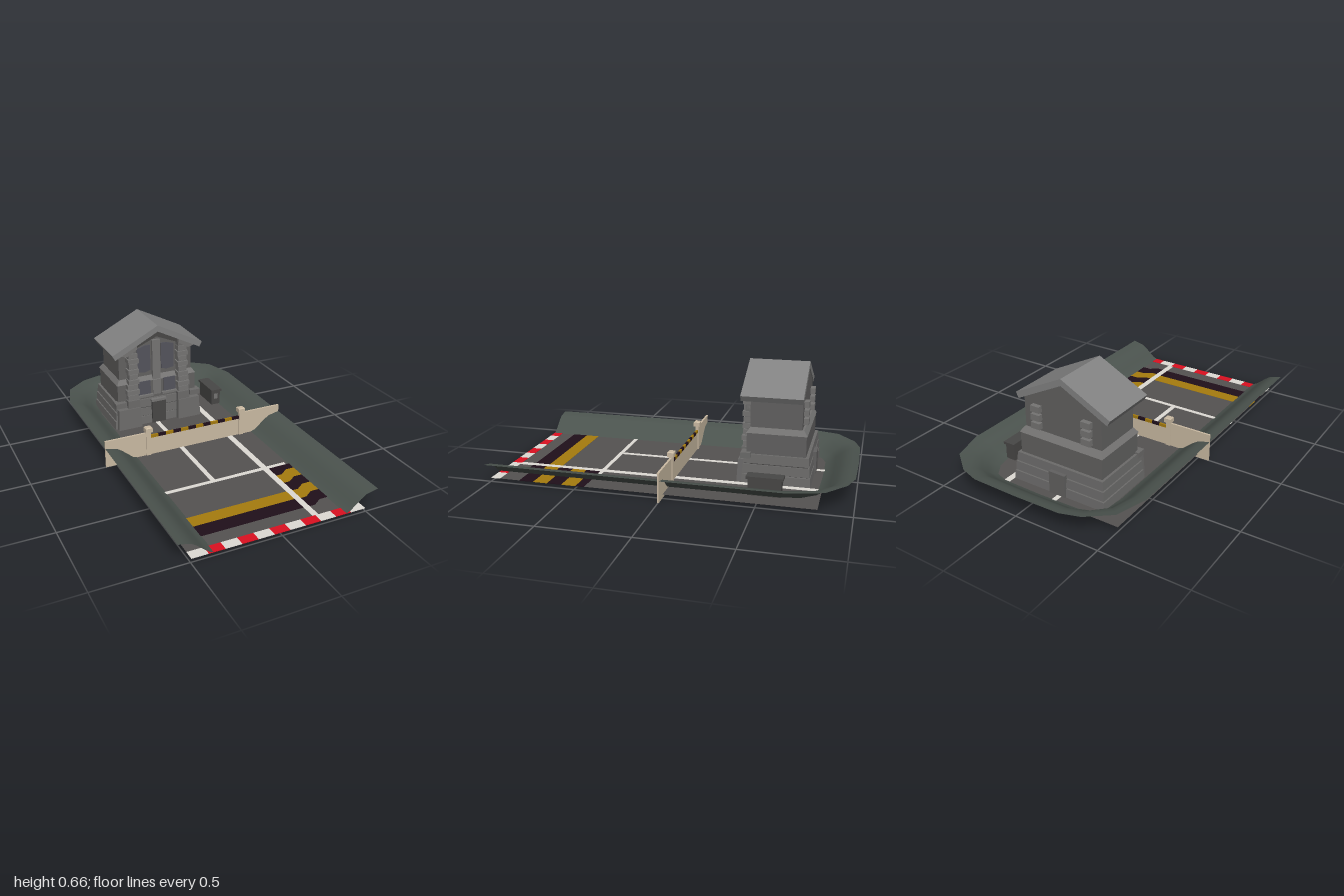
import * as THREE from 'three';

const mat = (color, side = THREE.FrontSide) =>
  new THREE.MeshStandardMaterial({ color, side, roughness: 0.9, flatShading: true });
const M = {
  asphalt: mat(0x555251, THREE.DoubleSide), bank: mat(0x4b534e, THREE.DoubleSide),
  white: mat(0xdedbd5), red: mat(0xdc1020), yellow: mat(0xa67c0e), black: mat(0x1f0f1a),
  tan: mat(0xcbbba3), stone: mat(0x6c6b6a), wall: mat(0x626160), roof: mat(0x828282),
  trim: mat(0x757473), dark: mat(0x484746), glass: mat(0x54545c),
};
const FLOOR = 0.02, HALF = 0.495;

function add(parent, name, geo, material) {
  const m = new THREE.Mesh(geo, material);
  m.name = name;
  parent.add(m);
  return m;
}

// Box given by its limits on each axis
function box(parent, name, material, x0, x1, y0, y1, z0, z1) {
  const m = add(parent, name, new THREE.BoxGeometry(x1 - x0, y1 - y0, z1 - z0), material);
  m.position.set((x0 + x1) / 2, (y0 + y1) / 2, (z0 + z1) / 2);
  return m;
}

// Box whose top is narrowed by an inset on all four sides
function tapered(parent, name, material, x0, x1, y0, y1, z0, z1, inset) {
  const m = box(parent, name, material, x0, x1, y0, y1, z0, z1);
  const p = m.geometry.attributes.position;
  for (let i = 0; i < p.count; i++) {
    if (p.getY(i) > 0) {
      p.setX(i, p.getX(i) - Math.sign(p.getX(i)) * inset);
      p.setZ(i, p.getZ(i) - Math.sign(p.getZ(i)) * inset);
    }
  }
  m.geometry.computeVertexNormals();
  return m;
}

// Outline in x,y pushed along z
function prism(parent, name, material, pts, z0, z1) {
  const shape = new THREE.Shape(pts.map(([x, y]) => new THREE.Vector2(x, y)));
  const geo = new THREE.ExtrudeGeometry(shape, { depth: z1 - z0, bevelEnabled: false });
  geo.translate(0, 0, z0);
  return add(parent, name, geo, material);
}

// Sloping embankment, lofted from the floor edge to the outer rim
function makeBank() {
  const mirror = (h) => [...h, ...h.slice(0, -1).reverse().map(([x, z]) => [-x, z])];
  const inner = mirror([[-0.37, 1], [-0.37, -0.62], [-0.355, -0.7], [-0.31, -0.77], [-0.24, -0.795], [0, -0.8]]);
  const outer = mirror([[-0.565, 1], [-0.565, -0.67], [-0.51, -0.855], [-0.38, -0.96], [-0.27, -0.995], [0, -1]]);
  const profile = [[0, 0.018], [0.16, 0.03], [0.32, 0.056], [0.48, 0.083], [0.65, 0.105], [0.82, 0.113], [1, 0.12]];
  const pos = [], idx = [], n = profile.length;
  inner.forEach(([x, z], i) => profile.forEach(([t, y]) =>
    pos.push(x + (outer[i][0] - x) * t, y, z + (outer[i][1] - z) * t)));
  for (let i = 0; i < inner.length - 1; i++) {
    for (let j = 0; j < n - 1; j++) {
      const a = i * n + j, b = a + n;
      idx.push(a, b, a + 1, b, b + 1, a + 1);
    }
  }
  const geo = new THREE.BufferGeometry();
  geo.setAttribute('position', new THREE.Float32BufferAttribute(pos, 3));
  geo.setIndex(idx);
  geo.computeVertexNormals();
  const material = M.bank.clone();
  material.flatShading = false;
  const mesh = new THREE.Mesh(geo, material);
  mesh.name = 'embankment';
  return mesh;
}

function makeGround() {
  const g = new THREE.Group();
  g.name = 'ground';
  const floor = add(g, 'floor', new THREE.PlaneGeometry(2 * HALF, 1.82), M.asphalt);
  floor.rotation.x = -Math.PI / 2;
  floor.position.set(0, FLOOR, 0.09);
  const mark = (name, m, x0, x1, z0, z1, t = 0.0015) =>
    box(g, name, m, x0, x1, FLOOR - t, FLOOR + t, z0, z1);
  mark('centreLine', M.white, -0.107, -0.08, -0.81, 0.42, 0.002);
  mark('sideLine', M.white, 0.21, 0.245, -0.8, 0.945, 0.002);
  mark('stopLine', M.white, -HALF, 0.36, 0.418, 0.442, 0.0025);
  mark('yellowBand', M.yellow, -HALF, 0.21, 0.69, 0.772);
  mark('blackBand', M.black, -HALF, 0.21, 0.772, 0.86);
  // Stepped hazard stripes beside the side line
  for (let i = 0; i < 5; i++) {
    const z = 0.442 + i * 0.084, e = z + 0.084, up = i ? 0.035 : 0;
    const geo = new THREE.ExtrudeGeometry(new THREE.Shape([
      [0.245, z], [0.28, z], [0.33, z - up], [HALF, z - up],
      [HALF, e - 0.035], [0.33, e - 0.035], [0.28, e], [0.245, e],
    ].map(([x, y]) => new THREE.Vector2(x, y))), { depth: 0.003, bevelEnabled: false });
    geo.rotateX(Math.PI / 2);
    add(g, 'hazardStripe', geo, i % 2 ? M.yellow : M.black).position.y = FLOOR + 0.0015;
  }
  // Red and white edge strip
  for (let i = 0; i < 11; i++) {
    mark('edgeStrip', i % 2 ? M.red : M.white, -HALF + i * 0.09, -HALF + (i + 1) * 0.09, 0.945, 1);
    g.children.at(-1).material = i % 2 ? M.red : M.white;
  }
  return g;
}

function makeBarrier() {
  const g = new THREE.Group();
  g.name = 'barrier';
  for (const s of [-1, 1]) {
    const span = (a, b) => (s > 0 ? [a, b] : [-b, -a]);
    box(g, 'sideFence', M.tan, ...span(0.31, 0.565), 0, 0.158, -0.004, 0.004);
    box(g, 'fenceRail', M.tan, ...span(0.31, 0.565), 0.158, 0.165, -0.006, 0.006);
    box(g, 'post', M.tan, ...span(0.288, 0.318), 0, 0.17, -0.01, 0.01);
    box(g, 'postCap', M.tan, ...span(0.28, 0.322), 0.17, 0.195, -0.019, 0.019);
    tapered(g, 'postCapTop', M.tan, ...span(0.28, 0.322), 0.195, 0.2, -0.019, 0.019, 0.005);
  }
  box(g, 'gatePanel', M.tan, -0.29, 0.29, 0.015, 0.128, -0.003, 0.003);
  for (let i = 0; i < 12; i++) {
    const x = -0.288 + i * 0.048;
    box(g, 'gateStripe', i % 2 ? M.black : M.yellow, x, x + 0.048, 0.128, 0.145, -0.006, 0.006);
  }
  return g;
}

function makeHouse() {
  const g = new THREE.Group();
  g.name = 'house';
  g.position.x = -0.08;
  // Banded plinth
  box(g, 'plinthCore', M.dark, -0.27, 0.27, FLOOR, 0.18, -0.735, -0.385);
  for (let i = 0; i < 3; i++) {
    const o = 0.29 - i * 0.007;
    tapered(g, 'plinthBand', M.stone, -o, o, FLOOR + i * 0.056, FLOOR + i * 0.056 + 0.05,
      -0.755 + i * 0.006, -0.372 - i * 0.004, 0.004);
  }
  // Lower storey, sloping ledge and gabled upper storey
  box(g, 'lowerWall', M.wall, -0.258, 0.258, 0.18, 0.3, -0.722, -0.395);
  tapered(g, 'ledge', M.trim, -0.262, 0.262, 0.3, 0.33, -0.726, -0.39, 0.02);
  prism(g, 'upperWall', M.wall,
    [[-0.24, 0.32], [0.24, 0.32], [0.24, 0.515], [0, 0.628], [-0.24, 0.515]], -0.695, -0.41);
  // Roof and the trim below its front edge
  prism(g, 'roof', M.roof, [[-0.276, 0.482], [0, 0.624], [0.276, 0.482], [0.293, 0.513],
    [0, 0.662], [-0.293, 0.513]], -0.7, -0.36);
  prism(g, 'gableTrim', M.dark, [[-0.2, 0.5], [0, 0.585], [0.2, 0.5], [0.2, 0.523],
    [0, 0.626], [-0.2, 0.523]], -0.42, -0.385);
  for (const s of [-1, 1]) {
    const side = (a, b) => (s > 0 ? [a, b] : [-b, -a]);
    // Front pilaster with alternating blocks, foot and roof bracket
    box(g, 'pilaster', M.stone, ...side(0.137, 0.19), FLOOR, 0.53, -0.42, -0.372);
    for (let i = 0; i < 9; i++) {
      const w = i % 2 ? 0.004 : -0.002, low = i < 3 ? 0.012 : 0;
      box(g, 'pilasterBlock', M.trim, ...side(0.132 - w, 0.192 + w + low),
        0.205 + i * 0.034, 0.233 + i * 0.034, -0.42, -0.362 + w);
    }
    box(g, 'pilasterBase', M.stone, ...side(0.128, 0.205), 0.1, 0.2, -0.42, -0.358);
    tapered(g, 'pilasterFoot', M.stone, ...side(0.122, 0.275), FLOOR, 0.15, -0.42, -0.345, 0.006);
    prism(g, 'roofBracket', M.trim, [[s * 0.135, 0.53], [s * 0.2, 0.49], [s * 0.235, 0.5],
      [s * 0.235, 0.512], [s * 0.135, 0.56]], -0.42, -0.363);
    // Side stone on the plinth corner
    box(g, 'cornerStone', M.stone, ...side(0.215, 0.282), 0.16, 0.192, -0.42, -0.365);
    // Windows
    prism(g, 'upperWindow', M.glass, [[s * 0.036, 0.365], [s * 0.07, 0.355], [s * 0.12, 0.362],
      [s * 0.12, 0.515], [s * 0.07, 0.53], [s * 0.036, 0.53]], -0.42, -0.403);
    box(g, 'lowerWindow', M.glass, ...side(0.044, 0.122), 0.215, 0.303, -0.41, -0.387);
    box(g, 'windowSill', M.trim, ...side(0.03, 0.13), 0.198, 0.212, -0.41, -0.378);
    // Rear wall blocks
    for (let i = 0; i < 3; i++) {
      box(g, 'rearBlock', M.trim, ...side(0.13, 0.185),
        0.345 + i * 0.048, 0.38 + i * 0.048, -0.722, -0.69);
    }
  }
  box(g, 'centreStrip', M.trim, -0.026, 0.026, 0.2, 0.56, -0.42, -0.392);
  box(g, 'frontDoor', M.dark, -0.045, 0.045, FLOOR, 0.165, -0.4, -0.363);
  box(g, 'doorLintel', M.trim, -0.05, 0.05, 0.165, 0.18, -0.4, -0.36);
  box(g, 'rearDoor', M.wall, -0.05, 0.05, FLOOR, 0.15, -0.762, -0.73);
  return g;
}

function makeCabinet() {
  const g = new THREE.Group();
  g.name = 'cabinet';
  box(g, 'cabinetBody', M.dark, 0.325, 0.385, FLOOR, 0.112, -0.62, -0.44);
  box(g, 'cabinetLid', M.dark, 0.32, 0.392, 0.112, 0.126, -0.63, -0.43);
  box(g, 'cabinetPanel', M.trim, 0.342, 0.368, 0.06, 0.095, -0.441, -0.437);
  return g;
}

export function createModel() {
  const model = new THREE.Group();
  model.name = 'gatedYard';
  model.add(makeGround(), makeBank(), makeBarrier(), makeHouse(), makeCabinet());
  return model;
}
